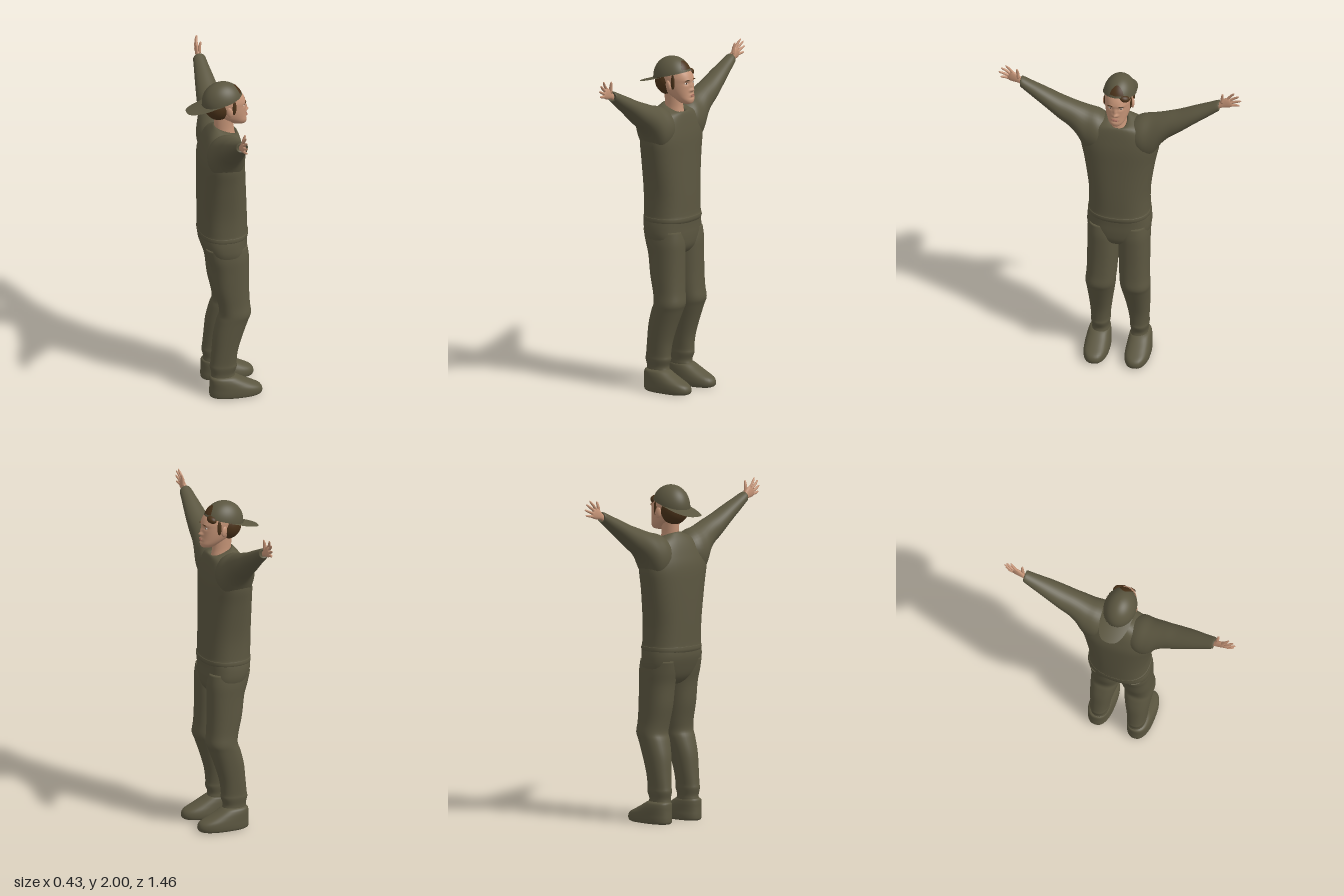
import * as THREE from 'three';

const material = (name, color, side = THREE.FrontSide) => {
  const m = new THREE.MeshStandardMaterial({ color, side });
  m.name = name;
  return m;
};

// Catmull-Rom blend through rows of numbers
function smoothRows(rows, steps) {
  const out = [], at = i => rows[Math.min(rows.length - 1, Math.max(0, i))];
  for (let i = 0; i < rows.length - 1; i++) {
    for (let s = 0; s < steps; s++) {
      const t = s / steps, p = [at(i - 1), at(i), at(i + 1), at(i + 2)];
      out.push(p[1].map((b, k) => {
        const a = p[0][k], c = p[2][k], d = p[3][k];
        return b + 0.5 * t * (c - a + t * (2 * a - 5 * b + 4 * c - d + t * (3 * (b - c) + d - a)));
      }));
    }
  }
  out.push(at(rows.length - 1));
  return out;
}

// Closed skin over oval rings [t, a0, a1, b0, b1, tilt]; place(a, t, b) gives the point
function loft(rows, place, power = 2.3, steps = 4, seg = 36) {
  const rings = smoothRows(rows, steps), pos = [], idx = [];
  const bend = v => Math.sign(v) * Math.abs(v) ** (2 / power);
  for (const [t, a0, a1, b0, b1, tilt = 0] of rings) {
    for (let j = 0; j < seg; j++) {
      const w = j / seg * Math.PI * 2;
      const a = (a0 + a1) / 2 + (a1 - a0) / 2 * bend(Math.cos(w));
      const b = (b0 + b1) / 2 + (b1 - b0) / 2 * bend(Math.sin(w));
      pos.push(...place(a, t + tilt * b, b));
    }
  }
  const n = rings.length;
  for (let i = 0; i < n - 1; i++) {
    for (let j = 0; j < seg; j++) {
      const a = i * seg + j, b = i * seg + (j + 1) % seg;
      idx.push(a, a + seg, b, b, a + seg, b + seg);
    }
  }
  [0, n - 1].forEach((r, end) => {
    const [t, a0, a1, b0, b1, tilt = 0] = rings[r], c = pos.length / 3, bm = (b0 + b1) / 2;
    pos.push(...place((a0 + a1) / 2, t + tilt * bm, bm));
    for (let j = 0; j < seg; j++) {
      const a = r * seg + j, b = r * seg + (j + 1) % seg;
      idx.push(...(end ? [c, b, a] : [c, a, b]));
    }
  });
  // Turn the skin outward when the placement mirrors it
  let volume = 0;
  const P = i => new THREE.Vector3().fromArray(pos, i * 3);
  for (let i = 0; i < idx.length; i += 3) volume += P(idx[i]).dot(P(idx[i + 1]).cross(P(idx[i + 2])));
  if (volume < 0) idx.reverse();
  const g = new THREE.BufferGeometry();
  g.setAttribute('position', new THREE.Float32BufferAttribute(pos, 3));
  g.setIndex(idx);
  g.computeVertexNormals();
  return g;
}

// Open sheet from a rule f(u, v)
function sheet(f, nu, nv) {
  const g = new THREE.PlaneGeometry(1, 1, nu, nv), p = g.attributes.position;
  for (let i = 0; i < p.count; i++) p.setXYZ(i, ...f(p.getX(i) + 0.5, p.getY(i) + 0.5));
  g.computeVertexNormals();
  return g;
}

export function createModel() {
  const cloth = material('oliveCloth', 0x5b5640);
  const capCloth = material('oliveCapCloth', 0x5b5640, THREE.DoubleSide);
  const skin = material('skin', 0xc49376);
  const hair = material('brownHair', 0x4a3219, THREE.DoubleSide);
  const lip = material('lips', 0xa86f5e);
  const white = material('eyeWhite', 0xd8d0c6);
  const dark = material('pupil', 0x2e241c);

  const body = new THREE.Group();
  const add = (name, geometry, mat, parent = body) => {
    const m = new THREE.Mesh(geometry, mat);
    m.name = name;
    parent.add(m);
    return m;
  };
  const ball = (name, mat, p, s) => {
    const m = add(name, new THREE.SphereGeometry(1, 24, 16), mat);
    m.position.set(...p);
    m.scale.set(...s);
    return m;
  };
  const upright = (a, t, b) => [a, t, b];

  // Sweater with a hem and a lowered front collar
  add('sweater', loft([
    [1.015, -.18, .18, -.138, .14, 0], [1.03, -.187, .187, -.145, .148, 0], [1.05, -.186, .186, -.145, .149, 0],
    [1.065, -.182, .182, -.143, .144, 0], [1.2, -.183, .183, -.145, .14, 0], [1.4, -.212, .212, -.145, .13, 0],
    [1.52, -.235, .235, -.14, .124, 0], [1.6, -.225, .225, -.12, .112, 0], [1.66, -.17, .17, -.095, .1, -.05],
    [1.695, -.095, .095, -.065, .09, -.2], [1.705, -.052, .052, -.045, .08, -.4], [1.68, -.042, .042, -.035, .07, -.4],
  ], upright, 2.4), cloth);

  // Trouser seat
  add('trouserSeat', loft([
    [1.04, -.183, .183, -.14, .143], [.99, -.19, .19, -.138, .14], [.93, -.188, .188, -.12, .139],
    [.87, -.16, .16, -.095, .13], [.83, -.09, .09, -.06, .1], [.815, -.03, .03, -.02, .05],
  ], upright, 2.5), cloth);

  for (const s of [1, -1]) {
    const side = s > 0 ? 'left' : 'right';
    const mirrored = (a, t, b) => [s * a, t, b];

    // Trouser leg
    add(side + 'TrouserLeg', loft([
      [.97, .02, .18, -.12, .13], [.9, .0, .187, -.105, .14], [.82, .0, .186, -.083, .14], [.7, .004, .186, -.068, .14],
      [.6, .009, .187, -.045, .144], [.535, .015, .193, -.036, .15], [.49, .02, .19, -.052, .134],
      [.4, .035, .184, -.075, .102], [.3, .05, .177, -.085, .072], [.22, .06, .172, -.093, .062],
      [.19, .06, .173, -.097, .064], [.15, .065, .167, -.088, .05], [.12, .064, .168, -.09, .056], [.09, .075, .16, -.08, .05],
    ], mirrored, 2.3), cloth);

    // Shoe
    add(side + 'Shoe', loft([
      [0, .062, .185, -.09, .195], [.008, .051, .195, -.1, .21], [.03, .048, .198, -.102, .215],
      [.055, .05, .197, -.101, .2], [.08, .053, .194, -.1, .15], [.105, .057, .189, -.1, .1],
      [.125, .064, .18, -.097, .065], [.135, .085, .16, -.08, .045],
    ], mirrored, 2.4), cloth);

    // Raised sleeve
    add(side + 'Sleeve', loft([
      [.04, 1.54, 1.66, -.07, .07], [.12, 1.46, 1.715, -.115, .105], [.19, 1.45, 1.735, -.115, .1],
      [.25, 1.55, 1.756, -.092, .086], [.3, 1.607, 1.775, -.08, .076], [.36, 1.652, 1.797, -.075, .07],
      [.45, 1.725, 1.838, -.064, .056], [.53, 1.785, 1.873, -.053, .04], [.585, 1.828, 1.897, -.046, .03],
      [.596, 1.837, 1.893, -.04, .024], [.588, 1.845, 1.885, -.03, .015],
    ], (a, t, b) => [s * t, a, b], 2), cloth);

    // Open hand: wrist, palm, four fingers and a thumb
    const hand = new THREE.Group();
    hand.name = side + 'Hand';
    hand.position.set(s * .59, 1.865, -.01);
    hand.rotation.z = s * .48;
    body.add(hand);
    add(side + 'Palm', loft([
      [-.02, -.018, .018, -.016, .016], [.012, -.019, .019, -.015, .015], [.035, -.027, .029, -.014, .014],
      [.062, -.034, .033, -.012, .013], [.08, -.031, .03, -.009, .01], [.088, -.022, .022, -.004, .005],
    ], (a, t, b) => [s * t, a, b], 2.2, 3, 20), skin, hand);
    const digits = [[.076, -.025, -.3, .05], [.082, -.009, -.06, .066], [.082, .009, .17, .07], [.077, .025, .42, .064], [.035, .022, .98, .062]];
    digits.forEach(([x, y, angle, length], i) => {
      const r = i === 4 ? .0095 : .008;
      const finger = add(side + (i === 4 ? 'Thumb' : 'Finger' + (i + 1)), loft([
        [-.008, -r, r, -r, r], [length * .4, -r * .95, r * .95, -r, r],
        [length * .85, -r * .7, r * .7, -r * .6 + .006, r * .7 + .006], [length, -r * .2, r * .2, .006, .009],
      ], (a, t, b) => [s * t, a, b], 2, 3, 12), skin, hand);
      finger.position.set(s * x, y, i === 4 ? .008 : 0);
      finger.rotation.z = s * angle;
    });
  }

  // Neck
  add('neck', loft([
    [1.64, -.05, .05, -.04, .085], [1.68, -.047, .047, -.04, .075], [1.72, -.044, .044, -.045, .07], [1.8, -.046, .046, -.05, .07],
  ], upright, 2), skin);

  // Head, with features raised by soft bumps: [x, y, widthX, widthY, depth]
  const headGeo = loft([
    [1.728, -.016, .016, .085, .125], [1.735, -.033, .033, .06, .142], [1.755, -.05, .05, .03, .148],
    [1.785, -.065, .065, -.02, .143], [1.82, -.075, .075, -.055, .14], [1.855, -.08, .08, -.08, .139],
    [1.89, -.081, .081, -.088, .136], [1.93, -.073, .073, -.08, .112], [1.96, -.05, .05, -.05, .07],
  ], upright, 2.2, 7, 80);
  const bumps = [
    [0, 1.815, .012, .009, .018], [0, 1.835, .008, .018, .011], [-.014, 1.811, .007, .006, .006], [.014, 1.811, .007, .006, .006],
    [0, 1.783, .018, .008, .006], [0, 1.768, .02, .005, -.004], [.033, 1.855, .014, .009, -.008], [-.033, 1.855, .014, .009, -.008],
    [.03, 1.874, .02, .007, .004], [-.03, 1.874, .02, .007, .004],
  ];
  const hp = headGeo.attributes.position;
  for (let i = 0; i < hp.count; i++) {
    const x = hp.getX(i), y = hp.getY(i), z = hp.getZ(i);
    if (z < .06) continue;
    hp.setZ(i, bumps.reduce((q, [bx, by, sx, sy, d]) => q + d * Math.exp(-(((x - bx) / sx) ** 2) - ((y - by) / sy) ** 2), z));
  }
  headGeo.computeVertexNormals();
  const head = add('head', headGeo, skin);
  const ray = new THREE.Raycaster();
  const onFace = (x, y) => {
    ray.set(new THREE.Vector3(x, y, 1), new THREE.Vector3(0, 0, -1));
    return ray.intersectObject(head)[0]?.point.z ?? .13;
  };
  const feature = (name, mat, x, y, sx, sy, lift = 0, turn = 0) =>
    ball(name, mat, [x, y, onFace(x, y) + lift], [sx, sy, .004]).rotation.set(0, x * 10, turn);
  feature('upperLip', lip, 0, 1.786, .021, .0035);
  feature('lowerLip', lip, 0, 1.778, .018, .004);
  for (const s of [1, -1]) {
    feature('eye', white, s * .032, 1.855, .012, .005);
    feature('pupil', dark, s * .032, 1.855, .0045, .0046, .002);
    feature('eyebrow', hair, s * .033, 1.875, .018, .003, 0, -s * .1);
    ball('ear', skin, [s * .082, 1.838, .03], [.011, .032, .02]).rotation.set(-.15, s * .3, 0);
    ball('sideburn', hair, [s * .074, 1.862, .058], [.01, .045, .014]);
  }

  // Hair at the nape and a lock on the forehead
  ball('backHair', hair, [0, 1.855, -.022], [.087, .09, .084]);
  ball('foreheadLock', hair, [.045, 1.91, .094], [.034, .022, .026]).rotation.set(0, .4, -.25);

  // Backward cap: crown, front opening, strap and brim
  const dome = (theta, phi, k = 1) => [
    .097 * k * Math.sin(theta) * Math.sin(phi), 1.88 + .12 * k * Math.cos(theta), .003 + .122 * k * Math.sin(theta) * Math.cos(phi)];
  const rim = phi => 1.47 - .27 * Math.cos(phi);
  add('capCrown', sheet((u, v) => {
    const phi = u * Math.PI * 2;
    return dome(rim(phi) * (1 - v), phi);
  }, 48, 16), capCloth);
  add('capRim', sheet((u, v) => {
    const phi = u * Math.PI * 2;
    return dome(rim(phi) + .01 - .09 * v, phi, 1.018);
  }, 48, 2), capCloth);
  add('capOpening', sheet((u, v) => {
    const w = u * 2 - 1;
    return dome(1.11 - .54 * v * Math.sqrt(1 - w * w), w * .5, 1.012);
  }, 20, 8), hair);
  add('capBrim', sheet((u, v) => {
    const w = u * 2 - 1, c = Math.sqrt(Math.max(0, 1 - w * w));
    const root = -.095 * c, tip = -.03 - .185 * Math.sqrt(Math.max(0, 1 - Math.abs(w) ** 2.8));
    const z = root + (tip - root) * v;
    return [.094 * w, 1.9 + z * .33 - .012 * w * w, z];
  }, 32, 8), capCloth);

  // The figure looks along +x
  body.name = 'figure';
  body.rotation.y = Math.PI / 2;
  const model = new THREE.Group();
  model.name = 'capWearingFigure';
  model.add(body);
  return model;
}
